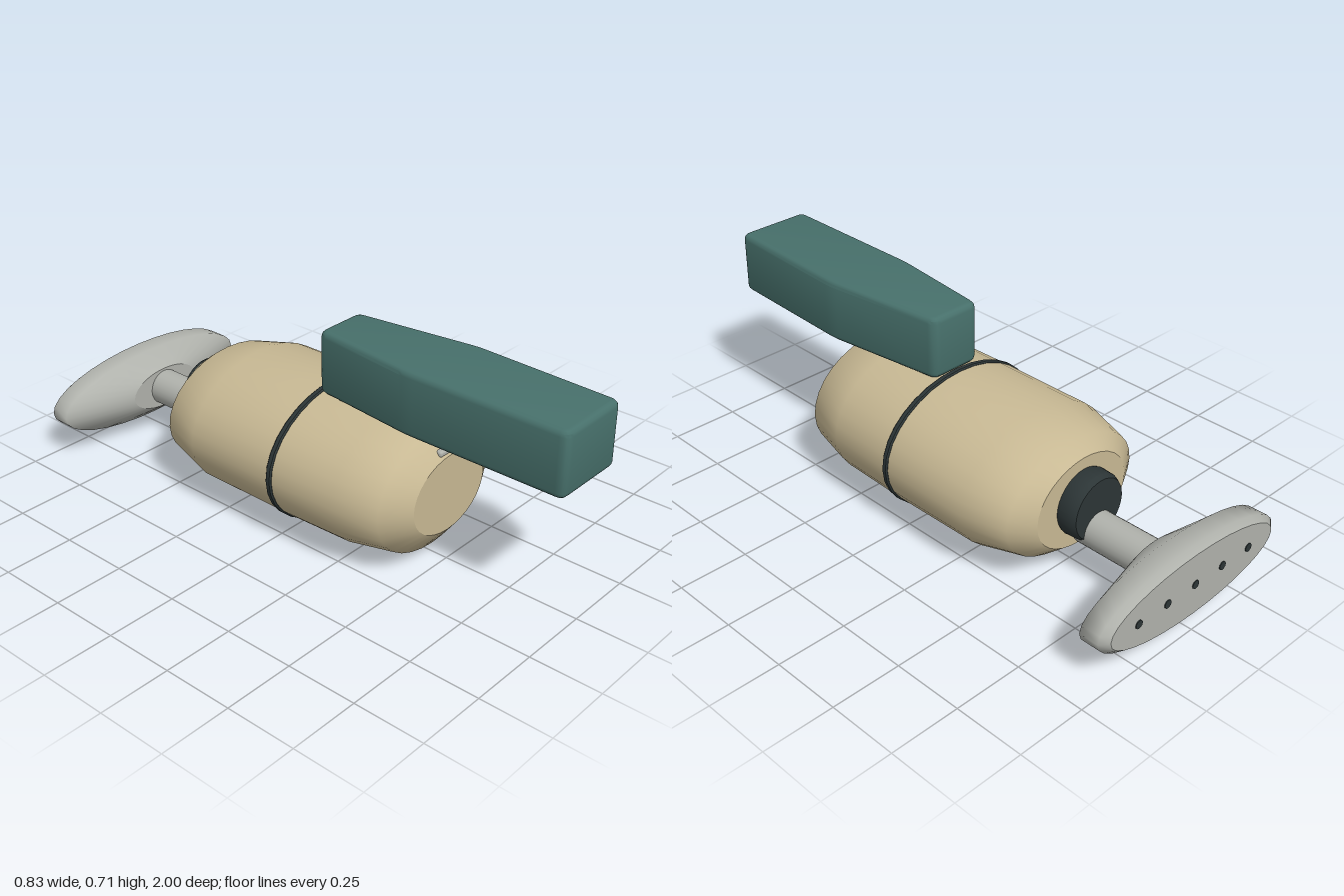
import * as THREE from 'three';
import { toCreasedNormals } from 'three/addons/utils/BufferGeometryUtils.js';
import { RoundedBoxGeometry } from 'three/addons/geometries/RoundedBoxGeometry.js';

const mat = (name, color) => {
  const m = new THREE.MeshStandardMaterial({ color });
  m.name = name;
  return m;
};

// Lofts elliptical sections [z, rx, ry, cy], ordered front to back, with flat caps
function loft(sections, seg = 32) {
  const pos = [], idx = [];
  const addRing = ([z, rx, ry, cy]) => {
    const start = pos.length / 3;
    for (let i = 0; i < seg; i++) {
      const a = (i / seg) * Math.PI * 2;
      pos.push(rx * Math.cos(a), cy + ry * Math.sin(a), z);
    }
    return start;
  };
  const rings = sections.map(addRing);
  for (let r = 0; r < rings.length - 1; r++) {
    for (let i = 0; i < seg; i++) {
      const j = (i + 1) % seg;
      const a = rings[r] + i, b = rings[r] + j, c = rings[r + 1] + i, d = rings[r + 1] + j;
      idx.push(a, c, b, b, c, d);
    }
  }
  // Caps own their vertices, so the rims stay crisp
  const front = addRing(sections[0]);
  const back = addRing(sections[sections.length - 1]);
  for (let i = 1; i < seg - 1; i++) {
    idx.push(front, front + i, front + i + 1, back, back + i + 1, back + i);
  }
  const g = new THREE.BufferGeometry();
  g.setAttribute('position', new THREE.Float32BufferAttribute(pos, 3));
  g.setIndex(idx);
  g.computeVertexNormals();
  return g;
}

// Closed polygon outline with rounded corners
function roundedOutline(points, r) {
  const pts = points.map(([x, y]) => new THREE.Vector2(x, y));
  const s = new THREE.Shape();
  pts.forEach((p, i) => {
    const prev = pts[(i + pts.length - 1) % pts.length], next = pts[(i + 1) % pts.length];
    const a = p.clone().add(prev.clone().sub(p).setLength(r));
    const b = p.clone().add(next.clone().sub(p).setLength(r));
    if (i === 0) s.moveTo(a.x, a.y); else s.lineTo(a.x, a.y);
    s.quadraticCurveTo(p.x, p.y, b.x, b.y);
  });
  s.closePath();
  return s;
}

export function createModel() {
  const shell = mat('beige shell', 0xc8b994);
  const teal = mat('teal grip', 0x47706b);
  const metal = mat('light grey', 0xb0b2ac);
  const dark = mat('dark rubber', 0x2c3536);

  const group = new THREE.Group();
  const add = (name, geometry, material, x = 0, y = 0, z = 0) => {
    const m = new THREE.Mesh(geometry, material);
    m.name = name;
    m.position.set(x, y, z);
    group.add(m);
    return m;
  };

  // Barrel-shaped body
  add('body', loft([
    [0.5, 0.18, 0.138, 0.251],
    [0.44, 0.285, 0.216, 0.251],
    [0.28, 0.324, 0.238, 0.249],
    [0.02, 0.331, 0.242, 0.249],
    [-0.33, 0.335, 0.236, 0.251],
    [-0.49, 0.29, 0.198, 0.25],
    [-0.54, 0.205, 0.16, 0.25],
  ]), shell);

  // Seam band around the body
  add('seamBand', toCreasedNormals(loft([
    [0.034, 0.332, 0.243, 0.249],
    [0.029, 0.337, 0.247, 0.249],
    [0.015, 0.337, 0.247, 0.249],
    [0.01, 0.332, 0.243, 0.249],
  ]), 0.5), dark);

  // Tapered grip on top, bevelled all round
  const bevel = 0.02;
  const outline = roundedOutline([
    [-0.097, 0.03], [0.097, 0.03], [0.157, 0.48], [0.137, 1], [-0.142, 1], [-0.142, 0.42],
  ], 0.03);
  const grip = new THREE.ExtrudeGeometry(outline, {
    depth: 0.222 - 2 * bevel, bevelThickness: bevel, bevelSize: bevel,
    bevelOffset: -bevel, bevelSegments: 3, curveSegments: 4,
  });
  grip.rotateX(Math.PI / 2);
  add('grip', toCreasedNormals(grip, 0.6), teal, 0, 0.707 - bevel, 0);

  // Small latch on the front
  add('latch', new RoundedBoxGeometry(0.095, 0.022, 0.036, 3, 0.009), metal, 0, 0.404, 0.479);

  // Rear collar, pipe and wide head
  add('collar', toCreasedNormals(loft([
    [-0.53, 0.112, 0.112, 0.253],
    [-0.55, 0.12, 0.118, 0.253],
    [-0.595, 0.116, 0.116, 0.253],
    [-0.612, 0.108, 0.106, 0.253],
  ]), 0.5), dark);

  const pipe = new THREE.CylinderGeometry(0.066, 0.066, 0.285, 24);
  pipe.rotateX(Math.PI / 2);
  add('pipe', pipe, metal, 0, 0.175, -0.7075);

  add('head', loft([
    [-0.835, 0.15, 0.075, 0.175],
    [-0.905, 0.416, 0.13, 0.175],
    [-0.975, 0.416, 0.131, 0.175],
    [-0.997, 0.385, 0.114, 0.175],
  ]), metal);

  // Row of outlet holes on the head
  for (let i = -2; i <= 2; i++) {
    const hole = new THREE.CylinderGeometry(0.015, 0.015, 0.008, 12);
    hole.rotateX(Math.PI / 2);
    add('outletHole', hole, dark, i * 0.131, 0.175, -0.996);
  }
  return group;
}
